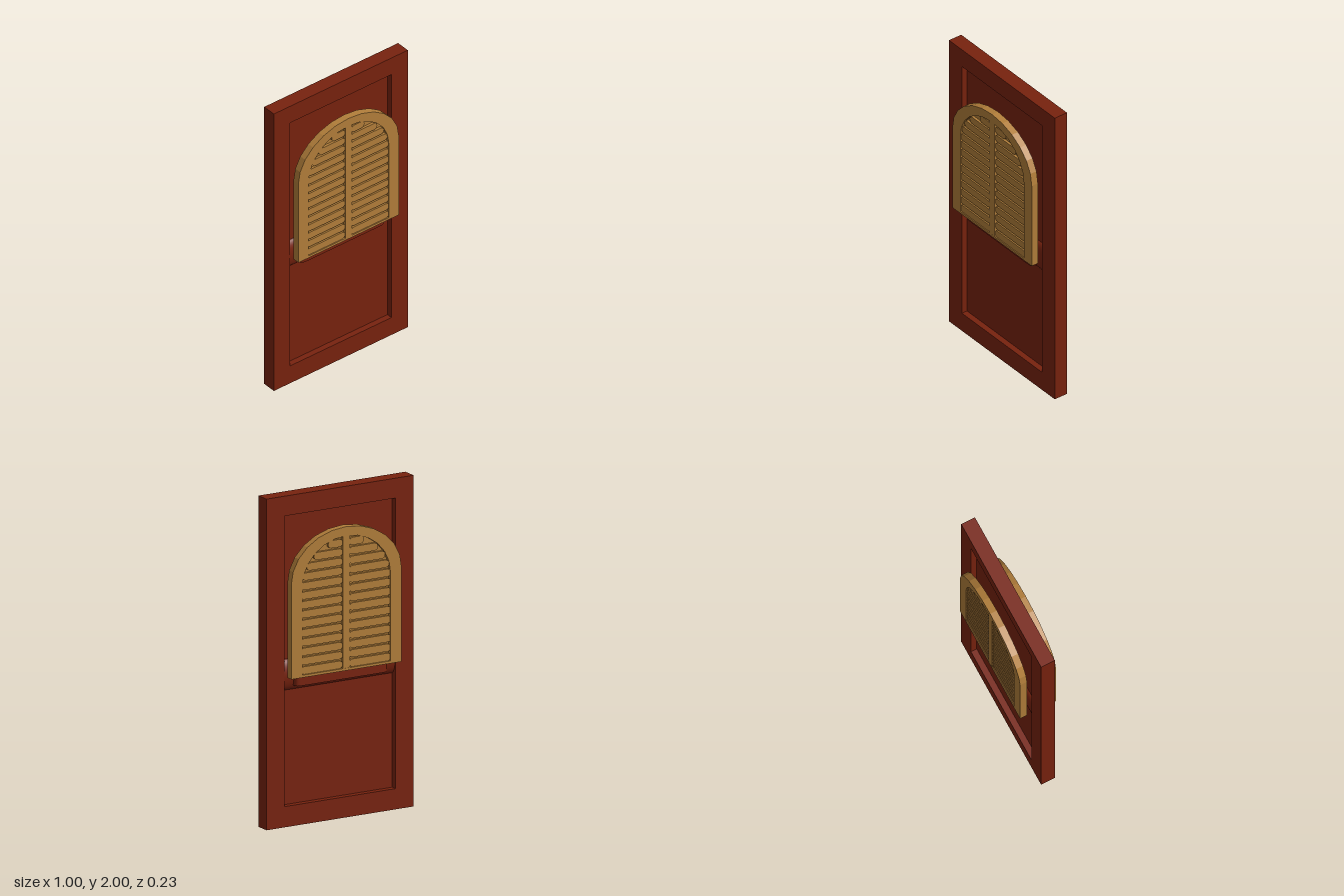
import * as THREE from 'three';

const redWood = new THREE.MeshStandardMaterial({ color: 0x78220e });
redWood.name = 'redWood';
const goldWood = new THREE.MeshStandardMaterial({ color: 0xb27e3a });
goldWood.name = 'goldWood';

// Outline helpers
function rectPoints(x0, y0, x1, y1) {
  return [[x0, y0], [x1, y0], [x1, y1], [x0, y1]].map(([x, y]) => new THREE.Vector2(x, y));
}

function archPoints(halfWidth, bottom, spring, top, segments = 12) {
  const pts = [new THREE.Vector2(-halfWidth, bottom), new THREE.Vector2(halfWidth, bottom)];
  for (let i = 0; i <= segments; i++) {
    const a = (i / segments) * Math.PI;
    pts.push(new THREE.Vector2(halfWidth * Math.cos(a), spring + (top - spring) * Math.sin(a)));
  }
  return pts;
}

// Flat extrusion centred on z = 0
function slab(shape, depth, curveSegments = 6) {
  const geo = new THREE.ExtrudeGeometry(shape, { depth, bevelEnabled: false, curveSegments });
  return geo.translate(0, 0, -depth / 2);
}

function add(parent, name, geometry, material) {
  const mesh = new THREE.Mesh(geometry, material);
  mesh.name = name;
  parent.add(mesh);
  return mesh;
}

// Horizontal slat with rounded ends
function slatShape(x0, x1, y, height) {
  const r = height / 2;
  const s = new THREE.Shape();
  s.moveTo(x0 + r, y - r);
  s.lineTo(x1 - r, y - r);
  s.absarc(x1 - r, y, r, -Math.PI / 2, Math.PI / 2, false);
  s.lineTo(x0 + r, y + r);
  s.absarc(x0 + r, y, r, Math.PI / 2, Math.PI * 1.5, false);
  return s;
}

const OPEN = { half: 0.3, bottom: 0.91, spring: 1.46, top: 1.725 };

// Half width of the arched opening at height y
function openingHalfWidth(y) {
  if (y <= OPEN.spring) return OPEN.half;
  const t = (y - OPEN.spring) / (OPEN.top - OPEN.spring);
  return OPEN.half * Math.sqrt(Math.max(0, 1 - t * t));
}

function createShutter() {
  const shutter = new THREE.Group();
  // Arched frame, open at the foot
  const frame = new THREE.Shape(archPoints(0.375, 0.91, 1.48, 1.78));
  frame.holes.push(new THREE.Path(archPoints(OPEN.half, 0.925, OPEN.spring, OPEN.top)));
  add(shutter, 'archFrame', slab(frame, 0.045), goldWood);

  // Thin backing and centre stile
  const backing = new THREE.Shape(archPoints(0.305, 0.915, OPEN.spring, 1.73));
  add(shutter, 'shutterBacking', slab(backing, 0.016).translate(0, 0, -0.006), goldWood);
  const stile = new THREE.Shape(rectPoints(-0.024, 0.912, 0.024, 1.75));
  add(shutter, 'centreStile', slab(stile, 0.044), goldWood);

  // Louvre slats on both sides of the stile, shortened under the arch
  const slats = [];
  for (let y = 0.95; y < 1.71; y += 0.0565) {
    const reach = openingHalfWidth(y + 0.02) + 0.006;
    if (reach < 0.08) continue;
    slats.push(slatShape(0.022, reach, y, 0.046), slatShape(-reach, -0.022, y, 0.046));
  }
  add(shutter, 'louvreSlats', slab(slats, 0.036), goldWood);
  return shutter;
}

// Pull bar seen from above: rounded corners, hollow behind the grip
function createHandle() {
  const s = new THREE.Shape();
  s.moveTo(-0.31, 0.02);
  s.lineTo(-0.31, 0.05);
  s.quadraticCurveTo(-0.308, 0.068, -0.275, 0.068);
  s.lineTo(0.275, 0.068);
  s.quadraticCurveTo(0.308, 0.068, 0.31, 0.05);
  s.lineTo(0.31, 0.02);
  s.lineTo(0.265, 0.02);
  s.lineTo(0.265, 0.048);
  s.lineTo(-0.265, 0.048);
  s.lineTo(-0.265, 0.02);
  s.closePath();
  return slab(s, 0.065).rotateX(Math.PI / 2).translate(0, 0.878, 0);
}

export function createModel() {
  const door = new THREE.Group();
  door.name = 'door';

  // Door frame and thin recessed panel
  const frame = new THREE.Shape(rectPoints(-0.5, 0, 0.5, 2));
  frame.holes.push(new THREE.Path(rectPoints(-0.378, 0.125, 0.378, 1.88)));
  add(door, 'doorFrame', slab(frame, 0.09), redWood);
  const panel = new THREE.BoxGeometry(0.758, 1.757, 0.014).translate(0, 1.0025, 0);
  add(door, 'recessedPanel', panel, redWood);

  // Rounded cross rail inside the recess
  const rail = new THREE.CylinderGeometry(1, 1, 0.756, 32).rotateZ(Math.PI / 2);
  rail.scale(1, 0.095, 0.04).translate(0, 0.91, 0);
  add(door, 'crossRail', rail, redWood);

  // Shutter and handle on each face
  for (const [side, turn] of [['front', 0], ['back', Math.PI]]) {
    const face = new THREE.Group();
    face.name = side + 'Fittings';
    face.rotation.y = turn;
    const shutter = createShutter();
    shutter.name = side + 'Shutter';
    shutter.position.z = 0.095;
    face.add(shutter);
    add(face, side + 'Handle', createHandle(), redWood);
    door.add(face);
  }
  return door;
}
